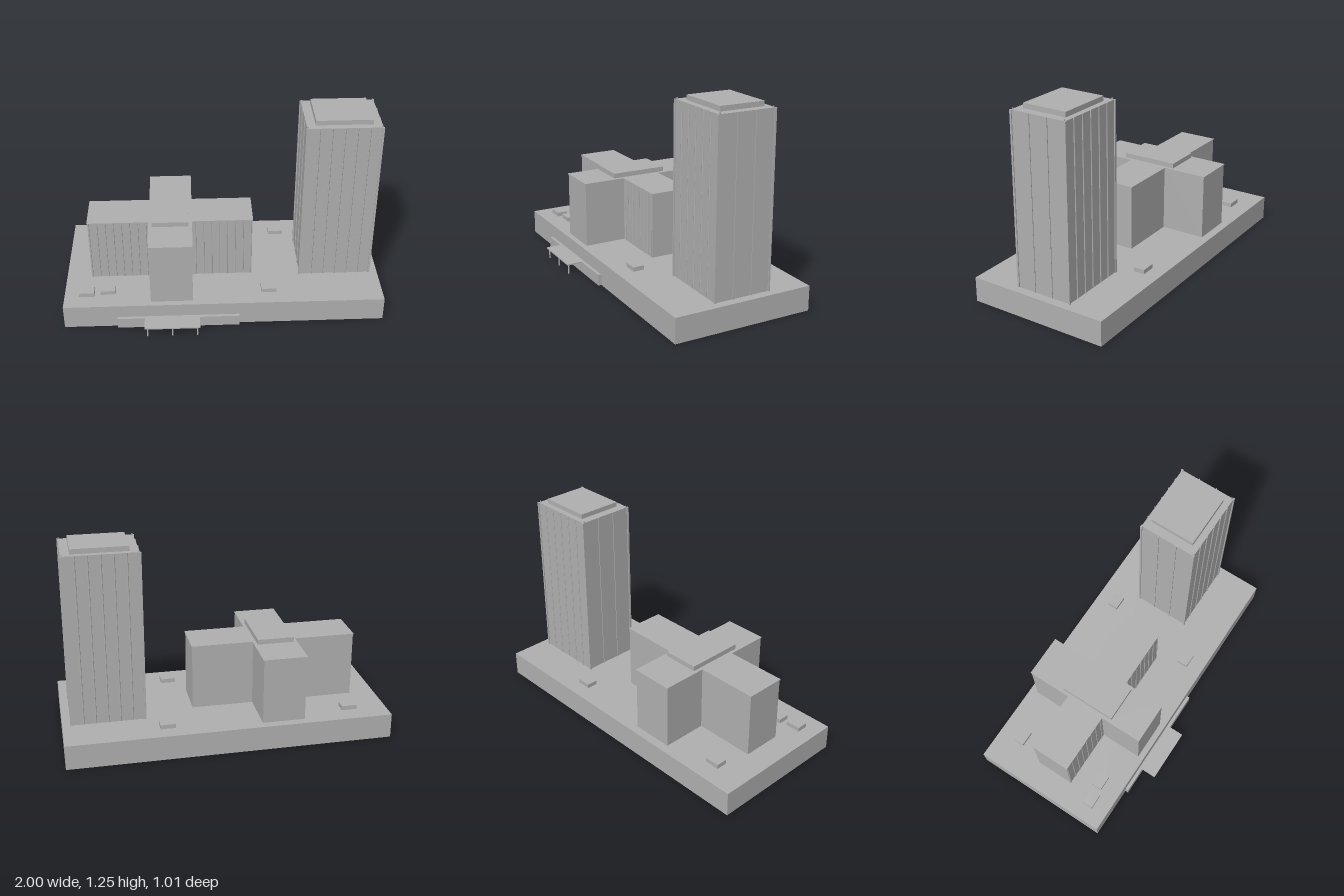
import * as THREE from 'three';

export function createModel() {
  const model = new THREE.Group();
  const concrete = new THREE.MeshStandardMaterial({ color: 0xb0b0b0, side: THREE.DoubleSide });
  concrete.name = 'concrete';

  const add = (name, geo, parent = model) => {
    const mesh = new THREE.Mesh(geo, concrete);
    mesh.name = name;
    parent.add(mesh);
    return mesh;
  };
  const box = (name, x0, x1, y0, y1, z0, z1, parent) => {
    const m = add(name, new THREE.BoxGeometry(x1 - x0, y1 - y0, z1 - z0), parent);
    m.position.set((x0 + x1) / 2, (y0 + y1) / 2, (z0 + z1) / 2);
    return m;
  };
  const post = (name, x, z, y0, y1, r, parent) => {
    const m = add(name, new THREE.CylinderGeometry(r, r, y1 - y0, 10), parent);
    m.position.set(x, (y0 + y1) / 2, z);
    return m;
  };
  const group = (name) => {
    const g = new THREE.Group();
    g.name = name;
    model.add(g);
    return g;
  };

  const deck = 0.155;

  // Podium: a shell open at the bottom
  const podium = box('podium', -1, 1, 0, deck, -0.505, 0.388);
  const keep = [];
  const index = podium.geometry.index.array;
  for (let i = 0; i < index.length; i++) if (i < 18 || i >= 24) keep.push(index[i]);
  podium.geometry.setIndex(keep);
  podium.geometry.clearGroups();

  // Tower with slender fins, corner posts and a roof cap
  const tower = group('tower');
  const [tx0, tx1, tz0, tz1, top] = [0.495, 0.945, -0.255, 0.105, 1.22];
  box('towerBody', tx0, tx1, deck, top, tz0, tz1, tower);
  box('towerRoofCap', 0.55, 0.892, top, 1.25, -0.22, 0.064, tower);
  for (let i = 1; i < 6; i++) {
    const x = tx0 + (tx1 - tx0) * i / 6;
    for (const z of [tz0, tz1]) post('towerFin', x, z, deck, top, 0.005, tower);
  }
  for (let i = 1; i < 3; i++) {
    const z = tz0 + (tz1 - tz0) * i / 3;
    for (const x of [tx0, tx1]) box('towerSideFin', x - 0.005, x + 0.005, deck, top, z - 0.004, z + 0.004, tower);
  }
  for (const x of [tx0, tx1]) for (const z of [tz0, tz1]) {
    box('towerCornerPost', x - 0.006, x + 0.006, deck, top, z - 0.006, z + 0.006, tower);
    post('towerCornerStud', x + (x < 0.7 ? 0.006 : -0.006), z + (z < 0 ? 0.01 : -0.01), top, 1.229, 0.004, tower);
  }

  // Cross-shaped block, extruded from its outline, with a thin oversailing roof
  const block = group('crossBlock');
  const cross = (name, y0, y1, o) => {
    const [a0, a1, b0, b1] = [-0.845 - o, 0.19 + o, -0.17 - o, 0.083 + o];
    const [c0, c1, d0, d1] = [-0.461 - o, -0.192 + o, -0.455 - o, 0.353 + o];
    const outline = [
      [a0, b0], [c0, b0], [c0, d0], [c1, d0], [c1, b0], [a1, b0],
      [a1, b1], [c1, b1], [c1, d1], [c0, d1], [c0, b1], [a0, b1],
    ].map(([x, z]) => new THREE.Vector2(x, -z));
    const geo = new THREE.ExtrudeGeometry(new THREE.Shape(outline), { depth: y1 - y0, bevelEnabled: false });
    geo.rotateX(-Math.PI / 2);
    geo.translate(0, y0, 0);
    add(name, geo, block);
  };
  cross('crossWalls', deck, 0.565, -0.003);
  cross('crossRoof', 0.565, 0.571, 0.001);
  box('crossPenthouse', -0.44, -0.213, 0.571, 0.602, -0.22, 0.138, block);

  // Fins on the front of both side wings
  for (const [x0, x1] of [[-0.835, -0.48], [-0.17, 0.18]])
    for (let i = 0; i < 8; i++)
      post('wingFin', x0 + (x1 - x0) * i / 7, 0.08, deck, 0.565, 0.004, block);

  // Rooftop units on the podium
  for (const [x, z] of [[-0.763, -0.355], [0.378, -0.375], [-0.86, 0.252], [-0.728, 0.235], [0.283, 0.252]])
    box('roofUnit', x - 0.047, x + 0.047, deck, 0.182, z - 0.035, z + 0.035);

  // Entrance wall and canopy on posts
  const entrance = group('entrance');
  box('entranceWall', -0.667, 0.092, 0, 0.07, 0.388, 0.408, entrance);
  box('canopy', -0.498, -0.155, 0.062, 0.07, 0.408, 0.505, entrance);
  for (const x of [-0.48, -0.326, -0.172]) post('canopyPost', x, 0.491, 0, 0.062, 0.005, entrance);

  return model;
}
